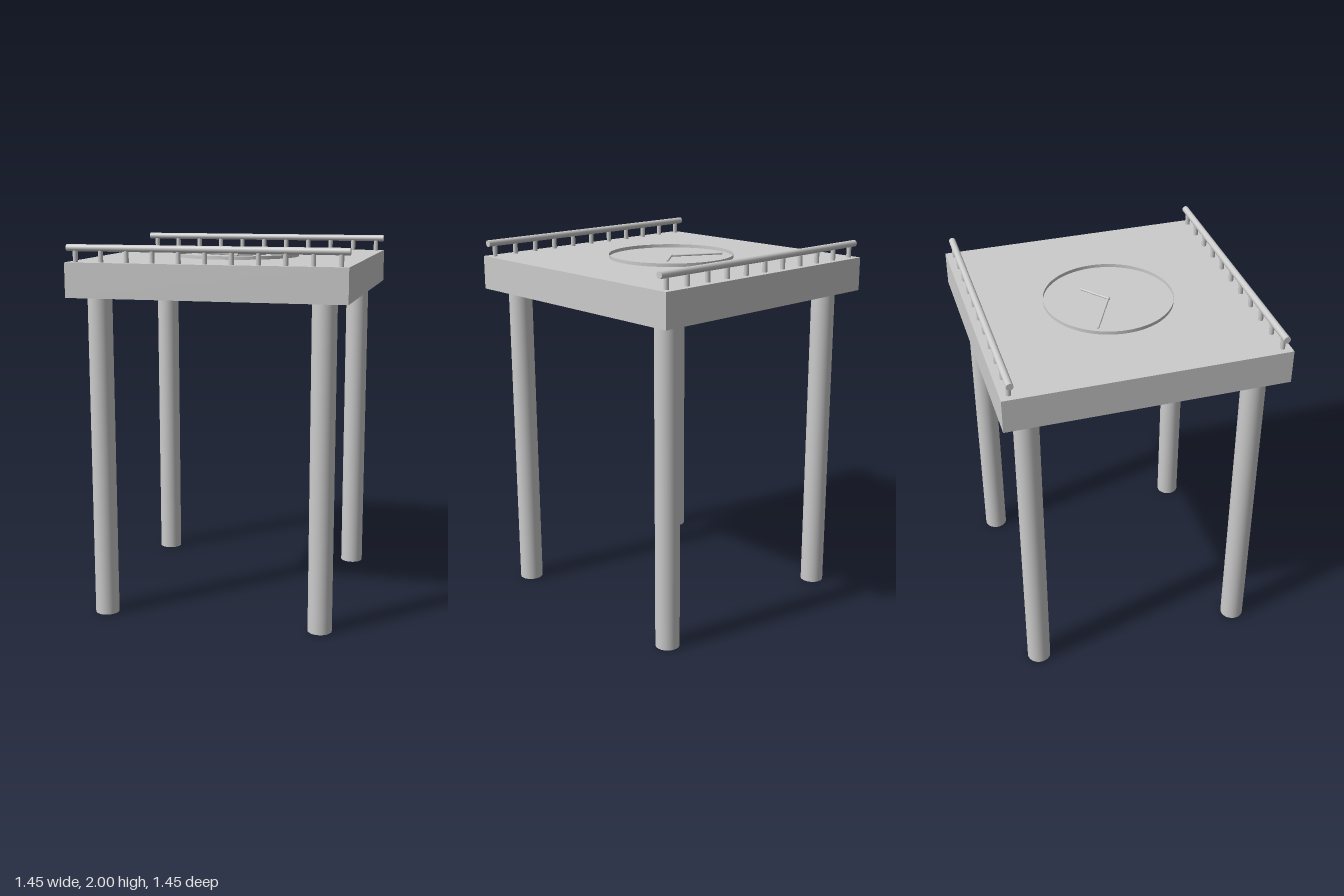
import * as THREE from 'three';

export function createModel() {
  const model = new THREE.Group();
  const grey = new THREE.MeshStandardMaterial({ color: 0xcccccc });
  const thin = new THREE.MeshStandardMaterial({ color: 0xcccccc, side: THREE.DoubleSide });

  function add(name, geometry, x, y, z, material = grey, parent = model) {
    const mesh = new THREE.Mesh(geometry, material);
    mesh.name = name;
    mesh.position.set(x, y, z);
    parent.add(mesh);
    return mesh;
  }

  const under = 1.73, top = 1.91, half = 0.727;

  // Square slab
  add('tableTop', new THREE.BoxGeometry(2 * half, top - under, 2 * half), 0, (top + under) / 2, 0);

  // Four round legs
  const legGeometry = new THREE.CylinderGeometry(0.064, 0.064, under, 32);
  for (const x of [-0.59, 0.59])
    for (const z of [-0.59, 0.59]) add('leg', legGeometry, x, under / 2, z);

  // Railings along the front and back edges
  const railRadius = 0.018, railY = 2 - railRadius;
  const railGeometry = new THREE.CylinderGeometry(railRadius, railRadius, 2 * half, 24).rotateZ(Math.PI / 2);
  const postGeometry = new THREE.CylinderGeometry(0.013, 0.013, railY - top, 16);
  for (const side of [-1, 1]) {
    const railing = new THREE.Group();
    railing.name = side > 0 ? 'frontRailing' : 'backRailing';
    add('rail', railGeometry, 0, railY, side * 0.682, grey, railing);
    for (let i = -5; i <= 5; i++)
      add('post', postGeometry, i * 0.1365, (top + railY) / 2, side * 0.682, grey, railing);
    model.add(railing);
  }

  // Clock rim: a thin open band standing on the slab
  const rimHeight = 0.018;
  add('clockRim', new THREE.CylinderGeometry(0.34, 0.34, rimHeight, 64, 1, true), 0, top + rimHeight / 2, 0, thin);

  // Clock hands: slim rods from the centre pin towards (x, z)
  const handY = top + 0.005;
  function hand(name, x, z) {
    const length = Math.hypot(x, z);
    const rod = new THREE.CylinderGeometry(0.006, 0.006, length, 12).rotateZ(Math.PI / 2);
    add(name, rod, x / 2, handY, z / 2).rotation.y = Math.atan2(-z, x);
  }
  hand('minuteHand', -0.262, -0.132);
  hand('hourHand', 0.134, -0.111);
  add('centrePin', new THREE.SphereGeometry(0.009, 16, 12), 0, handY, 0);

  return model;
}
